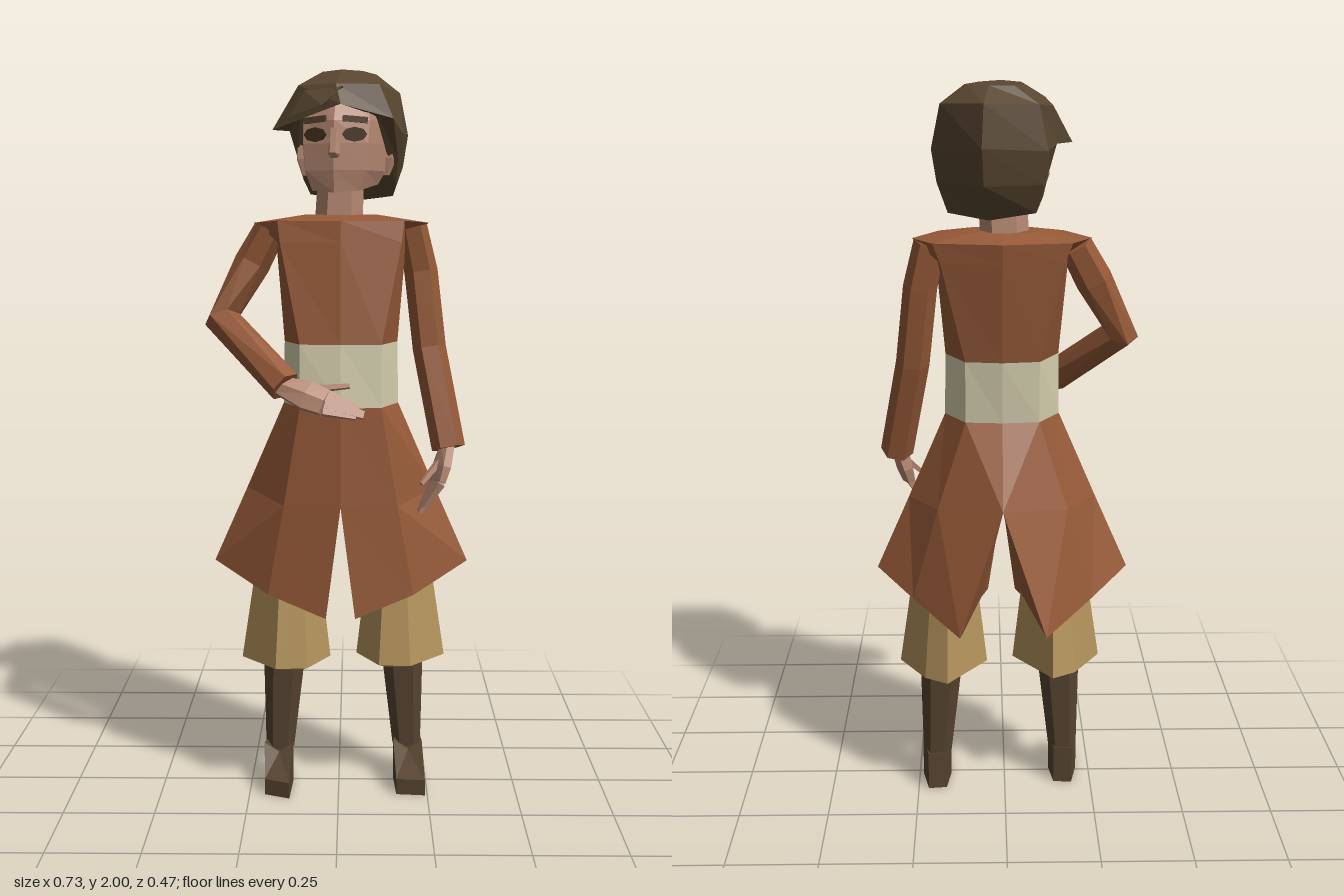
import * as THREE from 'three';

const material = (name, color, side = THREE.FrontSide) => {
  const m = new THREE.MeshStandardMaterial({ color, side, flatShading: true });
  m.name = name;
  return m;
};

// Skins a list of closed rings, ordered top to bottom, each running front, left, back, right
function loft(name, rings, mat, capTop = true) {
  const pos = [];
  const tri = (...pts) => pts.forEach(p => pos.push(...p));
  const n = rings[0].length;
  for (let r = 0; r < rings.length - 1; r++) {
    for (let i = 0; i < n; i++) {
      const j = (i + 1) % n;
      const a = rings[r][i], b = rings[r][j], c = rings[r + 1][j], d = rings[r + 1][i];
      tri(a, d, c);
      tri(a, c, b);
    }
  }
  const cap = (ring, flip) => {
    const mid = [0, 1, 2].map(k => ring.reduce((s, p) => s + p[k], 0) / n);
    for (let i = 0; i < n; i++) {
      const p = ring[i], q = ring[(i + 1) % n];
      flip ? tri(mid, q, p) : tri(mid, p, q);
    }
  };
  if (capTop) cap(rings[0], false);
  cap(rings[rings.length - 1], true);
  const g = new THREE.BufferGeometry();
  g.setAttribute('position', new THREE.Float32BufferAttribute(pos, 3));
  g.computeVertexNormals();
  const mesh = new THREE.Mesh(g, mat);
  mesh.name = name;
  return mesh;
}

// Completes a front-to-back half outline with its mirror image
const mirrorRing = half =>
  half.concat(half.slice(1, -1).reverse().map(([x, y, z]) => [-x, y, z]));

// Horizontal hexagon with a flat front
const ring = (cx, y, cz, rx, rz, n = 6) => Array.from({ length: n }, (_, i) => {
  const a = (i - 0.5) / n * Math.PI * 2;
  return [cx + Math.sin(a) * rx, y, cz + Math.cos(a) * rz];
});

// Tapered limb; stations are [x, y, z, radius along ref, radius across]
function limb(name, stations, mat, ref = [0, 0, 1], n = 6) {
  const pts = stations.map(s => new THREE.Vector3(s[0], s[1], s[2]));
  const rings = stations.map((s, i) => {
    const t = pts[Math.min(i + 1, pts.length - 1)].clone().sub(pts[Math.max(i - 1, 0)]).normalize();
    const n1 = new THREE.Vector3(...ref).addScaledVector(t, -t.dot(new THREE.Vector3(...ref))).normalize();
    const n2 = n1.clone().cross(t);
    return Array.from({ length: n }, (_, k) => {
      const a = (k - 0.5) / n * Math.PI * 2;
      return pts[i].clone().addScaledVector(n1, Math.cos(a) * s[3])
        .addScaledVector(n2, Math.sin(a) * s[4]).toArray();
    });
  });
  return loft(name, rings, mat);
}

// Palm, four fingers and a thumb; spread is the direction across the palm
function hand(name, wrist, knuckle, tip, spread, thumbTip, mat) {
  const g = new THREE.Group();
  g.name = name;
  const shift = (p, k) => p.map((v, i) => v + spread[i] * k);
  const mix = (a, b, t) => a.map((v, i) => v + (b[i] - v) * t);
  g.add(limb('palm', [[...wrist, 0.028, 0.022], [...mix(wrist, knuckle, 0.6), 0.045, 0.023],
    [...knuckle, 0.04, 0.018]], mat, spread));
  [-0.026, -0.009, 0.009, 0.026].forEach((k, i) => {
    const end = mix(knuckle, tip, i === 0 || i === 3 ? 0.82 : 1);
    g.add(limb('finger', [[...shift(knuckle, k), 0.013, 0.014],
      [...shift(end, k * 0.5), 0.008, 0.008]], mat, spread, 4));
  });
  g.add(limb('thumb', [[...mix(wrist, knuckle, 0.3), 0.015, 0.013], [...thumbTip, 0.008, 0.007]], mat, spread, 4));
  return g;
}

export function createModel() {
  const model = new THREE.Group();
  model.name = 'figure';
  const tunic = material('russet tunic', 0x965a38, THREE.DoubleSide);
  const sash = material('cream sash', 0xd6d0ae);
  const skin = material('skin', 0xb88a74);
  const hairMat = material('brown hair', 0x594630, THREE.DoubleSide);
  const trousers = material('tan trousers', 0xb5945c);
  const boots = material('dark boots', 0x574430);
  const eyeMat = material('dark eyes', 0x46331f);

  // Tunic body with overhanging shoulders, and sash
  const robe = new THREE.Group();
  robe.name = 'robe';
  robe.position.x = 0.006;
  model.add(robe);
  const collar = [[0, 1.612, 0.03], [0.08, 1.614, 0.02], [0.1, 1.614, -0.04], [0.08, 1.614, -0.09], [0, 1.612, -0.1]];
  const shoulders = [[0, 1.598, 0.1], [0.17, 1.598, 0.075], [0.24, 1.592, -0.03], [0.183, 1.592, -0.132], [0, 1.592, -0.165]];
  const chest = [[0, 1.54, 0.105], [0.163, 1.54, 0.085], [0.178, 1.54, -0.02], [0.163, 1.54, -0.13], [0, 1.54, -0.157]];
  const waistTop = [[0, 1.27, 0.13], [0.11, 1.27, 0.12], [0.155, 1.27, 0.01], [0.1, 1.27, -0.1], [0, 1.27, -0.115]];
  const waistLow = [[0, 1.1, 0.14], [0.11, 1.1, 0.125], [0.158, 1.1, 0.01], [0.1, 1.1, -0.09], [0, 1.1, -0.1]];
  robe.add(loft('tunicBody', [collar, shoulders, chest, waistTop].map(mirrorRing), tunic));
  robe.add(loft('sash', [waistTop, waistLow].map(mirrorRing), sash));

  for (const side of [1, -1]) {
    // Skirt halves, each closed inside and below, parted at front and back
    const skirt = loft('skirtHalf', [
      [...waistLow, [0, 1.1, 0.02]],
      [[0, 0.83, 0.147], [0.155, 0.83, 0.122], [0.262, 0.86, 0.005], [0.178, 0.86, -0.118], [0, 0.88, -0.205], [0, 0.855, -0.03]],
      [[0.04, 0.52, 0.15], [0.2, 0.58, 0.118], [0.355, 0.65, 0], [0.25, 0.6, -0.12], [0.118, 0.53, -0.24], [0.06, 0.57, -0.04]],
    ], tunic, false);
    skirt.scale.x = side;
    robe.add(skirt);

    // Trousers, boots and feet; the right leg steps slightly forward
    const leg = new THREE.Group();
    leg.name = side > 0 ? 'leftLeg' : 'rightLeg';
    const cuff = [[0.1, 0.09], [0.187, 0.097], [0.287, -0.02], [0.212, -0.145], [0.148, -0.185], [0.037, -0.03]];
    const cuffRing = (y, k) => cuff.map(([x, z]) => [0.145 + (x - 0.145) * k, y, -0.04 + (z + 0.04) * k]);
    leg.add(loft('trouserLeg', [cuffRing(0.68, 0.67), cuffRing(0.37, 1), cuffRing(0.345, 0.5)], trousers));
    leg.add(loft('bootShaft', [ring(0.168, 0.38, -0.05, 0.06, 0.066), ring(0.183, 0.09, -0.055, 0.04, 0.045)], boots));
    const toes = side > 0 ? [[0.15, 0.11], [0.23, 0.118]] : [[0.15, 0.115], [0.22, 0.085]];
    const instep = [[0.226, -0.015], [0.208, -0.106], [0.156, -0.1], [0.144, -0.015]];
    const outline = [...toes, ...instep];
    const heights = [0.045, 0.045, 0.115, 0.11, 0.11, 0.115];
    leg.add(loft('foot', [outline.map(([x, z], i) => [x, heights[i], z]), outline.map(([x, z]) => [x, 0, z])], boots));
    leg.scale.x = side;
    leg.position.set(0.013, 0, side > 0 ? 0 : 0.03);
    model.add(leg);
  }

  // Left arm hangs, right arm bends across the waist
  model.add(limb('leftSleeve', [[0.2, 1.58, -0.03, 0.078, 0.042], [0.226, 1.46, -0.032, 0.064, 0.046],
    [0.25, 1.25, -0.01, 0.056, 0.046], [0.302, 0.98, 0.055, 0.06, 0.046]], tunic));
  model.add(limb('rightSleeve', [[-0.19, 1.572, -0.03, 0.078, 0.045], [-0.24, 1.48, -0.027, 0.064, 0.05],
    [-0.32, 1.33, 0.01, 0.053, 0.05], [-0.14, 1.163, 0.172, 0.042, 0.046]], tunic));
  model.add(hand('leftHand', [0.3, 0.995, 0.058], [0.272, 0.89, 0.08], [0.222, 0.805, 0.085],
    [0.3, 0, 0.95], [0.225, 0.89, 0.112], skin));
  model.add(hand('rightHand', [-0.155, 1.165, 0.168], [-0.035, 1.125, 0.208], [0.068, 1.092, 0.214],
    [0.2, 0.88, -0.42], [0.03, 1.168, 0.2], skin));
  model.add(loft('neck', [ring(0.005, 1.73, -0.035, 0.062, 0.058), ring(0, 1.6, -0.038, 0.066, 0.062)], skin));

  // Head, turned slightly to its right
  const head = new THREE.Group();
  head.name = 'head';
  head.position.set(0.02, 0, -0.05);
  head.rotation.y = -0.2;
  model.add(head);
  head.add(loft('face', [
    [[0, 1.95, 0.12], [0.075, 1.95, 0.1], [0.11, 1.95, 0], [0.08, 1.94, -0.1], [0, 1.94, -0.13]],
    [[0, 1.86, 0.16], [0.09, 1.86, 0.13], [0.122, 1.86, 0], [0.09, 1.86, -0.1], [0, 1.86, -0.13]],
    [[0, 1.8, 0.165], [0.088, 1.8, 0.14], [0.12, 1.8, 0.01], [0.08, 1.8, -0.09], [0, 1.8, -0.11]],
    [[0, 1.73, 0.165], [0.082, 1.73, 0.142], [0.112, 1.73, 0.02], [0.07, 1.74, -0.07], [0, 1.74, -0.08]],
    [[0, 1.672, 0.158], [0.064, 1.677, 0.138], [0.094, 1.695, 0.03], [0.06, 1.71, -0.03], [0, 1.71, -0.04]],
  ].map(mirrorRing), skin));

  // Nose, lips, eyes, brows and ears
  head.add(loft('nose', [
    [[-0.008, 1.84, 0.165], [0.008, 1.84, 0.165], [0.01, 1.84, 0.15], [-0.01, 1.84, 0.15]],
    [[-0.007, 1.775, 0.182], [0.007, 1.775, 0.182], [0.02, 1.772, 0.155], [-0.02, 1.772, 0.155]],
    [[-0.004, 1.762, 0.168], [0.004, 1.762, 0.168], [0.015, 1.762, 0.155], [-0.015, 1.762, 0.155]],
  ], skin));
  const lips = new THREE.Mesh(new THREE.CylinderGeometry(0.028, 0.024, 0.014, 6), skin);
  lips.name = 'lips';
  lips.scale.z = 0.4;
  lips.position.set(0, 1.712, 0.156);
  head.add(lips);
  for (const s of [1, -1]) {
    const eye = new THREE.Mesh(new THREE.CylinderGeometry(0.033, 0.033, 0.008, 8).rotateX(Math.PI / 2).scale(1, 0.58, 1), eyeMat);
    eye.name = 'eye';
    eye.position.set(s * 0.053, 1.823, 0.149);
    const brow = new THREE.Mesh(new THREE.BoxGeometry(0.066, 0.016, 0.009), hairMat);
    brow.name = 'eyebrow';
    brow.position.set(s * 0.054, 1.862, 0.146);
    for (const part of [eye, brow]) part.rotation.y = s * 0.29;
    brow.rotation.z = -s * 0.08;
    const ear = loft('ear', [ring(s * 0.126, 1.805, -0.005, 0.014, 0.03), ring(s * 0.122, 1.765, 0, 0.018, 0.03),
      ring(s * 0.112, 1.72, 0.01, 0.01, 0.014)], skin);
    head.add(eye, brow, ear);
  }

  // Hair: crown, swept fringe and long back, closed underneath
  head.add(loft('hair', [
    mirrorRing([[0, 1.998, 0.06], [0.055, 1.994, 0.05], [0.08, 1.99, -0.02], [0.06, 1.99, -0.08], [0, 1.99, -0.1]]),
    mirrorRing([[0, 1.955, 0.135], [0.11, 1.955, 0.102], [0.148, 1.938, 0], [0.128, 1.945, -0.1], [0, 1.95, -0.172]]),
    [[0.02, 1.9, 0.172], [0.15, 1.865, 0.112], [0.162, 1.83, 0.03], [0.158, 1.83, -0.075],
      [0.004, 1.84, -0.178], [-0.152, 1.83, -0.096], [-0.155, 1.84, 0.02], [-0.186, 1.84, 0.088]],
    [[0.01, 1.91, 0.13], [0.105, 1.872, 0.1], [0.145, 1.765, 0.01], [0.145, 1.745, -0.072],
      [0.004, 1.745, -0.155], [-0.14, 1.745, -0.085], [-0.138, 1.77, 0], [-0.105, 1.88, 0.1]],
    [[0.01, 1.91, 0.1], [0.09, 1.872, 0.07], [0.134, 1.695, -0.03], [0.12, 1.665, -0.055],
      [0.004, 1.652, -0.09], [-0.115, 1.67, -0.06], [-0.128, 1.71, -0.03], [-0.09, 1.88, 0.07]],
  ], hairMat));
  head.add(loft('fringeLock', [
    [[-0.09, 1.94, 0.122], [0.02, 1.948, 0.142], [0.02, 1.945, 0.12], [-0.09, 1.935, 0.1]],
    [[-0.125, 1.872, 0.135], [-0.03, 1.897, 0.17], [-0.03, 1.9, 0.14], [-0.11, 1.88, 0.11]],
  ], hairMat));
  return model;
}
